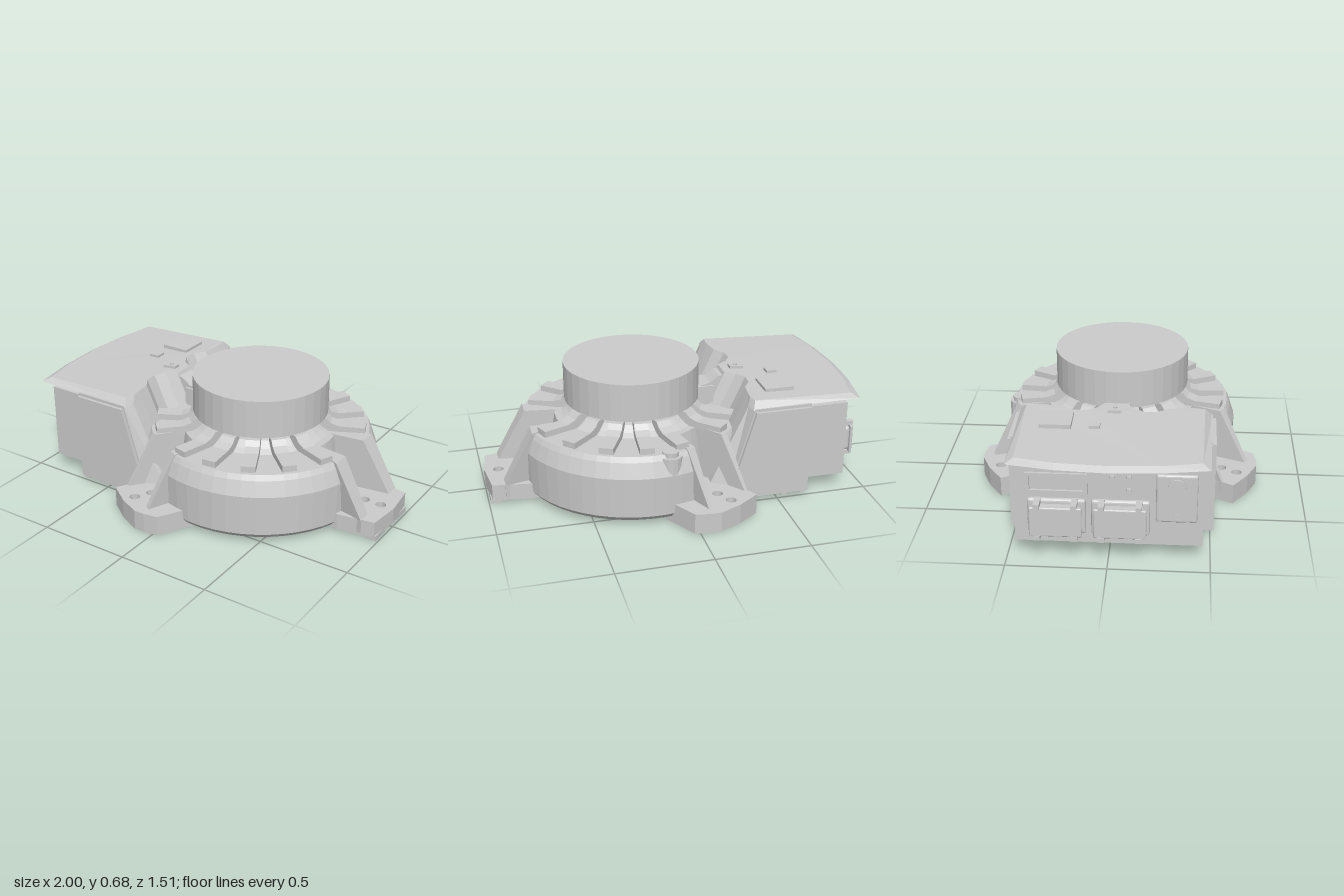
import * as THREE from 'three';
import { RoundedBoxGeometry } from 'three/addons/geometries/RoundedBoxGeometry.js';

const mat = new THREE.MeshStandardMaterial({ color: 0xcccccc, flatShading: true, side: THREE.DoubleSide });
const CX = 0.18; // axis of the turntable
const rad = THREE.MathUtils.degToRad;

function add(parent, name, geo, x = 0, y = 0, z = 0) {
  const m = new THREE.Mesh(geo, mat);
  m.name = name;
  m.position.set(x, y, z);
  parent.add(m);
  return m;
}
// box given by its minimum and maximum corners
function box(parent, name, x0, x1, y0, y1, z0, z1) {
  return add(parent, name, new THREE.BoxGeometry(x1 - x0, y1 - y0, z1 - z0), (x0 + x1) / 2, (y0 + y1) / 2, (z0 + z1) / 2);
}
const shapeOf = pts => new THREE.Shape(pts.map(p => new THREE.Vector2(...p)));
const lathe = (pts, seg, start = 0, len = Math.PI * 2) =>
  new THREE.LatheGeometry(pts.map(p => new THREE.Vector2(...p)), seg, start, len);
// plan outline in (x, z) raised from y0 to y1, with round holes [x, z, r]
function slab(pts, y0, y1, holes = []) {
  const s = shapeOf(pts);
  for (const [x, z, r] of holes) s.holes.push(new THREE.Path().absarc(x, z, r, 0, Math.PI * 2, true));
  return new THREE.ExtrudeGeometry(s, { depth: y1 - y0, bevelEnabled: false, curveSegments: 8 })
    .rotateX(Math.PI / 2).translate(0, y1, 0);
}
// move every vertex by a rule
function warp(geo, rule) {
  const p = geo.attributes.position, v = new THREE.Vector3();
  for (let i = 0; i < p.count; i++) {
    rule(v.fromBufferAttribute(p, i));
    p.setXYZ(i, v.x, v.y, v.z);
  }
  geo.computeVertexNormals();
  return geo;
}
const mirrorZ = half => [...half, ...half.filter(p => p[1] !== 0).map(([x, z]) => [x, -z]).reverse()];

function buildRoundBody(root) {
  const body = new THREE.Group();
  body.name = 'roundBody';
  body.position.x = CX;
  root.add(body);

  // outer shell in three sectors, leaving a pocket above each foot
  const shell = [[0.42, 0.035], [0.605, 0.035], [0.625, 0.06], [0.632, 0.28], [0.605, 0.36], [0.59, 0.387], [0.3, 0.387]];
  const gap = rad(12.5);
  for (let k = 0; k < 3; k++) {
    add(body, 'shellSector', lathe(shell, 14, Math.PI / 2 + k * rad(120) + gap, rad(120) - 2 * gap));
  }
  add(body, 'core', lathe([[0, 0.035], [0.47, 0.035], [0.42, 0.387], [0, 0.387]], 42));
  add(body, 'bottomRing', lathe([[0.31, 0.036], [0.31, 0.03], [0.335, 0.03], [0.335, 0.036]], 42));

  // flared neck and turntable
  add(body, 'neck', lathe([[0.385, 0.385], [0.35, 0.405], [0.315, 0.435], [0.3, 0.48]], 36));
  add(body, 'turntable', new THREE.CylinderGeometry(0.365, 0.365, 0.205, 36), 0, 0.5775, 0);

  // radial cooling fins with a raised inner end
  const finShape = shapeOf([[0.28, 0.38], [0.57, 0.38], [0.57, 0.42], [0.43, 0.42], [0.385, 0.435], [0.36, 0.46], [0.28, 0.46]]);
  const finGeo = new THREE.ExtrudeGeometry(finShape, { depth: 0.075, bevelEnabled: false }).translate(0, 0, -0.0375);
  for (const a of [22, 43, 64, 85, 104, 135, 153]) {
    for (const s of [1, -1]) add(body, 'coolingFin', finGeo).rotation.y = s * rad(a);
  }

  // filler cap on the back shoulder
  add(body, 'fillerBoss', new THREE.CylinderGeometry(0.062, 0.062, 0.12, 16), -0.07, 0.31, -0.565);
  add(body, 'fillerCap', new THREE.CylinderGeometry(0.045, 0.045, 0.03, 12), -0.07, 0.38, -0.565);

  // three feet
  const holes = [[0.65, 0, 0.028], [0.745, 0, 0.028]];
  const frontPlan = mirrorZ([[0.46, 0.2], [0.6, 0.21], [0.8, 0.18], [0.82, 0]]);
  const sidePlan = s => [[0.44, 0.14], [0.8, 0.138], [0.812, 0], [0.8, -0.127], [0.77, -0.18], [0.72, -0.24], [0.5, -0.24]]
    .map(([r, w]) => [r, w * s]);
  buildFoot(body, 0, frontPlan, 0.02, holes, [0.2, 0.2]);
  buildFoot(body, 120, sidePlan(-1), 0, holes, [0.15, 0.14]);
  buildFoot(body, -120, sidePlan(1), 0, holes, [0.14, 0.15]);
}

function buildFoot(body, angle, plan, y0, holes, [wPlus, wMinus]) {
  const foot = new THREE.Group();
  foot.name = 'foot';
  foot.rotation.y = rad(angle);
  body.add(foot);
  add(foot, 'footPlate', slab(plan, y0, 0.11, holes));
  if (y0 > 0) for (const s of [1, -1]) {
    const z = [0.07 * s, 0.175 * s].sort((a, b) => a - b);
    box(foot, 'footPad', 0.75, 0.81, 0, 0.03, z[0], z[1]);
  }
  // sloped gussets either side of the pocket, spreading outwards
  const profile = shapeOf([[0.4, 0.035], [0.73, 0.035], [0.73, 0.11], [0.575, 0.392], [0.4, 0.392]]);
  for (const [s, w] of [[1, wPlus], [-1, wMinus]]) {
    const geo = new THREE.ExtrudeGeometry(profile, { depth: 1, bevelEnabled: false });
    add(foot, 'gusset', warp(geo, v => {
      const inner = 0.08 + (v.x - 0.42) * 0.13;
      const outer = Math.min(w, 0.11 + (v.x - 0.4) * 0.5);
      const isOuter = (v.z > 0.5) === (s > 0);
      v.z = s * (isOuter ? outer : inner);
    }));
  }
}

function buildHousing(root) {
  const housing = new THREE.Group();
  housing.name = 'controlHousing';
  root.add(housing);

  // scalloped edge facing the turntable, from z = 0.5 to the middle
  const scallop = [[-0.37, 0.5], [-0.36, 0.44], [-0.365, 0.36], [-0.375, 0.28], [-0.415, 0.22], [-0.42, 0.15], [-0.385, 0.095], [-0.33, 0.06]];
  const slope = geo => warp(geo, v => {
    if (v.x > -0.6) v.x += (Math.abs(v.z) > 0.45 ? 0.3 : 0.47) * (0.57 - v.y);
  });
  add(housing, 'mainBlock', slope(slab(mirrorZ([[-0.67, 0.5], ...scallop]), 0.035, 0.535)));
  for (const s of [1, -1]) {
    const side = slab([[-0.665, 0.495], [-0.38, 0.495], [-0.38, 0.517], [-0.665, 0.517]].map(([x, z]) => [x, z * s]), 0.035, 0.52);
    add(housing, 'sidePanel', slope(side));
  }

  // lid with bevelled rim and bowed rear edge
  const lid = slab(mirrorZ([[-1, 0], [-0.985, 0.25], [-0.945, 0.488], ...scallop]), 0.53, 0.57);
  add(housing, 'lid', warp(lid, v => {
    if (v.y > 0.55) {
      if (Math.abs(v.z) > 0.4) v.z *= 0.92;
      if (v.x < -0.6) { v.x += 0.035; v.y = 0.55; }
    } else if (v.x > -0.6) v.x += 0.019;
  }));

  // bridge from the lid down to the neck
  const bridge = shapeOf([[-0.42, 0.38], [-0.42, 0.565], [-0.3, 0.55], [-0.25, 0.515], [-0.19, 0.5], [-0.165, 0.43], [-0.12, 0.38]]);
  add(housing, 'bridge', new THREE.ExtrudeGeometry(bridge, { depth: 0.11, bevelEnabled: false }), 0, 0, -0.055);
  box(housing, 'bridgeClamp', -0.27, -0.18, 0.4, 0.5, -0.068, 0.068);

  // small covers on the lid
  box(housing, 'lidCover', -0.62, -0.46, 0.55, 0.583, -0.365, -0.205);
  box(housing, 'lidButton', -0.612, -0.555, 0.55, 0.578, -0.118, -0.062);
  add(housing, 'lidTab', slab([[-0.445, -0.035], [-0.375, -0.02], [-0.375, 0.02], [-0.445, 0.035]], 0.56, 0.585, [[-0.41, 0, 0.012]]));

  // rear block carrying the connectors
  box(housing, 'rearBlock', -0.89, -0.66, 0.08, 0.5, -0.46, 0.46);
  box(housing, 'rearNeck', -0.87, -0.66, 0.49, 0.54, -0.43, 0.43);
  for (const z of [-0.25, 0.06]) {
    add(housing, 'connectorFlange', new RoundedBoxGeometry(0.03, 0.19, 0.285, 2, 0.014), -0.9, 0.235, z);
    add(housing, 'connectorBody', new RoundedBoxGeometry(0.08, 0.14, 0.235, 2, 0.02), -0.925, 0.235, z);
    add(housing, 'connectorRim', new RoundedBoxGeometry(0.016, 0.16, 0.255, 2, 0.007), -0.965, 0.235, z);
    for (const dz of [-0.09, 0.09]) for (const y of [0.148, 0.322]) {
      box(housing, 'connectorLatch', -0.98, -0.9, y - 0.012, y + 0.012, z + dz - 0.015, z + dz + 0.015);
    }
  }
  // window frame and round port above the connectors
  const frame = shapeOf([[-0.15, -0.055], [0.15, -0.055], [0.15, 0.055], [-0.15, 0.055]]);
  frame.holes.push(shapeOf([[-0.13, -0.038], [-0.13, 0.038], [0.13, 0.038], [0.13, -0.038]]));
  add(housing, 'windowFrame', new THREE.ExtrudeGeometry(frame, { depth: 0.018, bevelEnabled: false }).rotateY(-Math.PI / 2), -0.885, 0.41, -0.25);
  add(housing, 'portPlate', new RoundedBoxGeometry(0.024, 0.26, 0.2, 2, 0.011), -0.893, 0.345, 0.33);
  const disc = new THREE.CylinderGeometry(0.045, 0.045, 0.03, 16).rotateZ(Math.PI / 2);
  add(housing, 'roundPort', disc, -0.9, 0.41, 0.33);
  const bolt = new THREE.CylinderGeometry(0.014, 0.014, 0.03, 8).rotateZ(Math.PI / 2);
  for (const [y, z] of [[0.45, 0.1], [0.38, 0.1], [0.25, 0.33], [0.45, 0.02]]) add(housing, 'bolt', bolt, -0.895, y, z);

  // underside plate and arched support pads
  box(housing, 'undersidePlate', -0.62, -0.2, 0.029, 0.04, -0.25, 0.25);
  const pad = shapeOf([[-0.065, 0.02], [-0.04, 0.02], [-0.03, 0.045], [0, 0.055], [0.03, 0.045], [0.04, 0.02], [0.065, 0.02], [0.065, 0.07], [-0.065, 0.07]]);
  const padGeo = new THREE.ExtrudeGeometry(pad, { depth: 0.08, bevelEnabled: false });
  for (const z of [-0.51, 0.43]) add(housing, 'supportPad', padGeo, -0.585, 0, z);
}

export function createModel() {
  const root = new THREE.Group();
  root.name = 'rotaryDriveUnit';
  buildRoundBody(root);
  buildHousing(root);
  return root;
}
